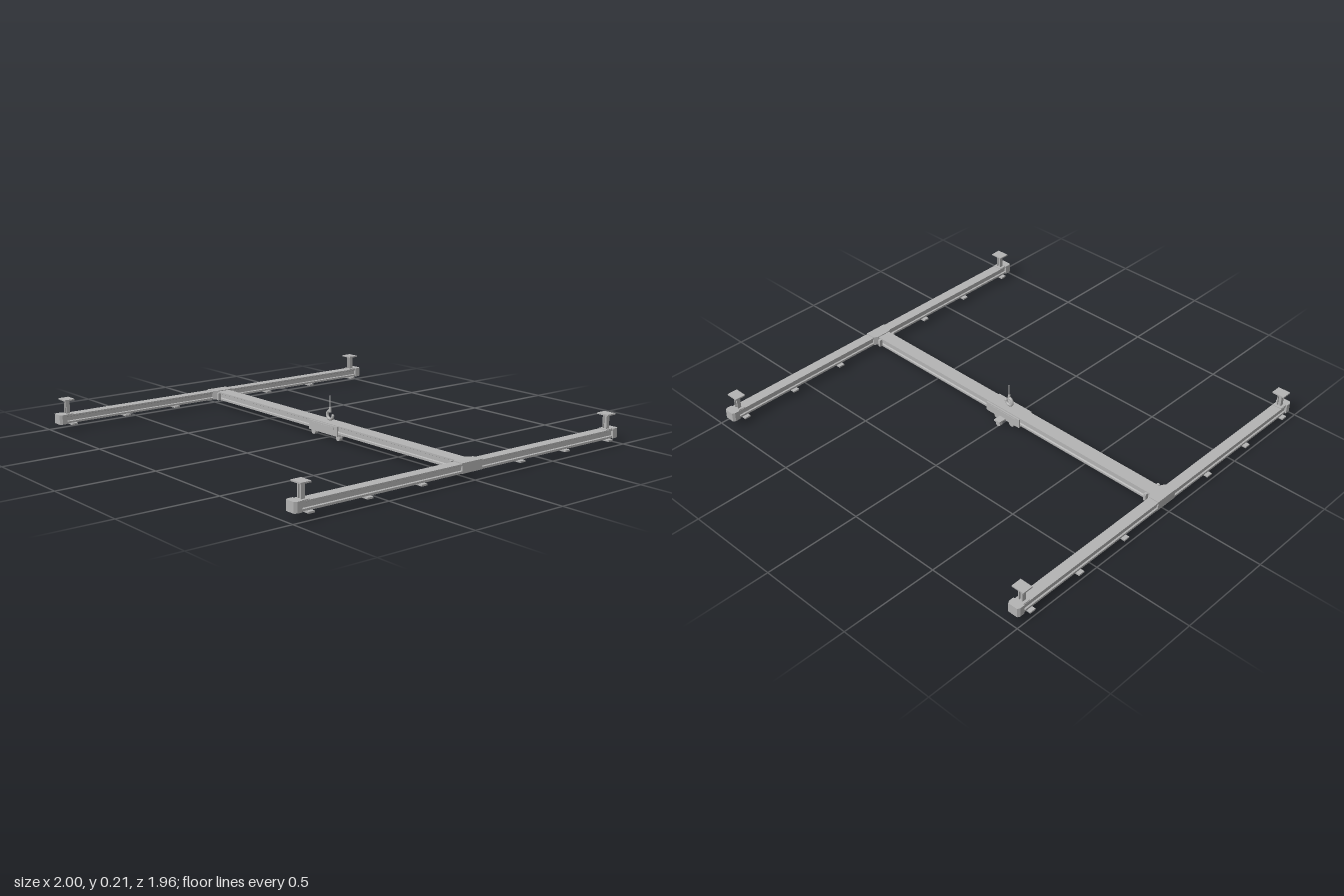
import * as THREE from 'three';

export function createModel() {
  const model = new THREE.Group();
  const grey = new THREE.MeshStandardMaterial({ color: 0xb4b4b4 });
  grey.name = 'steel grey';

  const add = (name, geometry, x = 0, y = 0, z = 0, parent = model) => {
    const mesh = new THREE.Mesh(geometry, grey);
    mesh.name = name;
    mesh.position.set(x, y, z);
    parent.add(mesh);
    return mesh;
  };
  const box = (name, w, h, d, x, y, z, parent) =>
    add(name, new THREE.BoxGeometry(w, h, d), x, y, z, parent);

  // Track section: flanged top, recessed sides, slotted underside; runs along z
  const track = (halfWidth, length) => {
    const w = halfWidth, web = w - 0.007, inner = web - 0.004, slot = 0.007;
    const half = [
      [w, 0.078], [w, 0.07], [web, 0.067], [web, 0.048], [w, 0.045],
      [w, 0.035], [slot, 0.035], [slot, 0.041], [inner, 0.041], [inner, 0.062],
    ];
    const outline = [...half, ...half.map(([x, y]) => [-x, y]).reverse()];
    const shape = new THREE.Shape(outline.map(([x, y]) => new THREE.Vector2(x, y)));
    return new THREE.ExtrudeGeometry(shape, { depth: length, bevelEnabled: false })
      .translate(0, 0, -length / 2);
  };

  // Extrude a plan outline (x, z) upwards
  const slab = (points, height) => {
    const shape = new THREE.Shape(points.map(([x, z]) => new THREE.Vector2(x, -z)));
    return new THREE.ExtrudeGeometry(shape, { depth: height, bevelEnabled: false })
      .rotateX(-Math.PI / 2);
  };

  const railX = 0.953;
  for (const side of [-1, 1]) {
    const rail = new THREE.Group();
    rail.name = side > 0 ? 'leftRunway' : 'rightRunway';
    rail.position.x = side * railX;
    model.add(rail);
    add('runwayRail', track(0.027, 1.9), 0, 0, 0, rail);

    for (const end of [-1, 1]) {
      // Tapered end stop
      add('endCap', slab([
        [-0.032, end * 0.94], [0.032, end * 0.94], [0.032, end * 0.965],
        [0.025, end * 0.978], [-0.025, end * 0.978], [-0.032, end * 0.965],
      ], 0.048), 0, 0.034, 0, rail);

      // Ceiling hanger: post, foot and mounting plate
      const z = end * 0.922;
      box('hangerPost', 0.02, 0.076, 0.006, 0, 0.114, z, rail);
      for (const s of [-1, 1]) box('hangerFlange', 0.005, 0.076, 0.02, s * 0.0095, 0.114, z, rail);
      box('hangerPlate', 0.066, 0.007, 0.054, 0, 0.153, z, rail);
      box('hangerFoot', 0.05, 0.005, 0.045, 0, 0.079, z, rail);

      // Clips below the rail
      for (const clipZ of [0.3, 0.6, 0.905]) {
        box('railClip', 0.094, 0.008, 0.032, 0, 0.032, end * clipZ, rail);
      }

      // Guide tabs beside the end carriage
      box('guideTab', 0.014, 0.038, 0.018, -side * 0.058, 0.055, end * 0.043, rail);
    }

    // End carriage joining the bridge to the runway
    add('endCarriage', slab([
      [-side * 0.027, -0.06], [side * 0.028, -0.06], [side * 0.028, 0.06],
      [-side * 0.027, 0.06], [-side * 0.04, 0.037], [-side * 0.04, -0.037],
    ], 0.048), 0, 0.034, 0, rail);
  }

  // Bridge beam
  const bridge = add('bridgeBeam', track(0.036, 1.9));
  bridge.rotation.y = Math.PI / 2;

  // Hoist trolley around the middle of the bridge
  const trolley = new THREE.Group();
  trolley.name = 'trolley';
  model.add(trolley);
  for (const s of [-1, 1]) {
    box('trolleySide', 0.218, 0.046, 0.008, 0, 0.052, s * 0.042, trolley);
    box('trolleyRib', 0.17, 0.012, 0.003, 0, 0.062, s * 0.047, trolley);
  }
  box('trolleyBase', 0.218, 0.007, 0.092, 0, 0.03, 0, trolley);
  box('rearBracket', 0.038, 0.009, 0.05, 0, 0.031, -0.062, trolley);

  // Rounded hangers under the trolley
  const hanger = (x, z) => {
    const disc = new THREE.CylinderGeometry(0.015, 0.015, 0.018, 16).rotateX(Math.PI / 2);
    add('cableRoller', disc, x, 0.015, z, trolley);
    box('rollerBracket', 0.024, 0.016, 0.014, x, 0.022, z, trolley);
  };
  for (const x of [-0.095, -0.05, 0.05, 0.095]) {
    hanger(x, Math.abs(x) > 0.07 ? 0.02 : -0.028);
  }
  hanger(0, -0.07);

  // Lifting hook with its cable
  const hook = new THREE.Group();
  hook.name = 'hook';
  hook.position.set(0, 0.109, 0);
  model.add(hook);
  const bend = add('hookBend', new THREE.TorusGeometry(0.021, 0.0075, 10, 28, Math.PI * 1.5), 0, 0, 0, hook);
  bend.rotation.z = Math.PI / 2;
  add('hookTip', new THREE.SphereGeometry(0.0075, 10, 8), 0.021, 0, 0, hook);
  add('hookShank', new THREE.CylinderGeometry(0.006, 0.008, 0.024, 12), 0, 0.026, 0, hook);
  add('cable', new THREE.CylinderGeometry(0.003, 0.003, 0.065, 8), 0, 0.064, 0, hook);

  return model;
}
